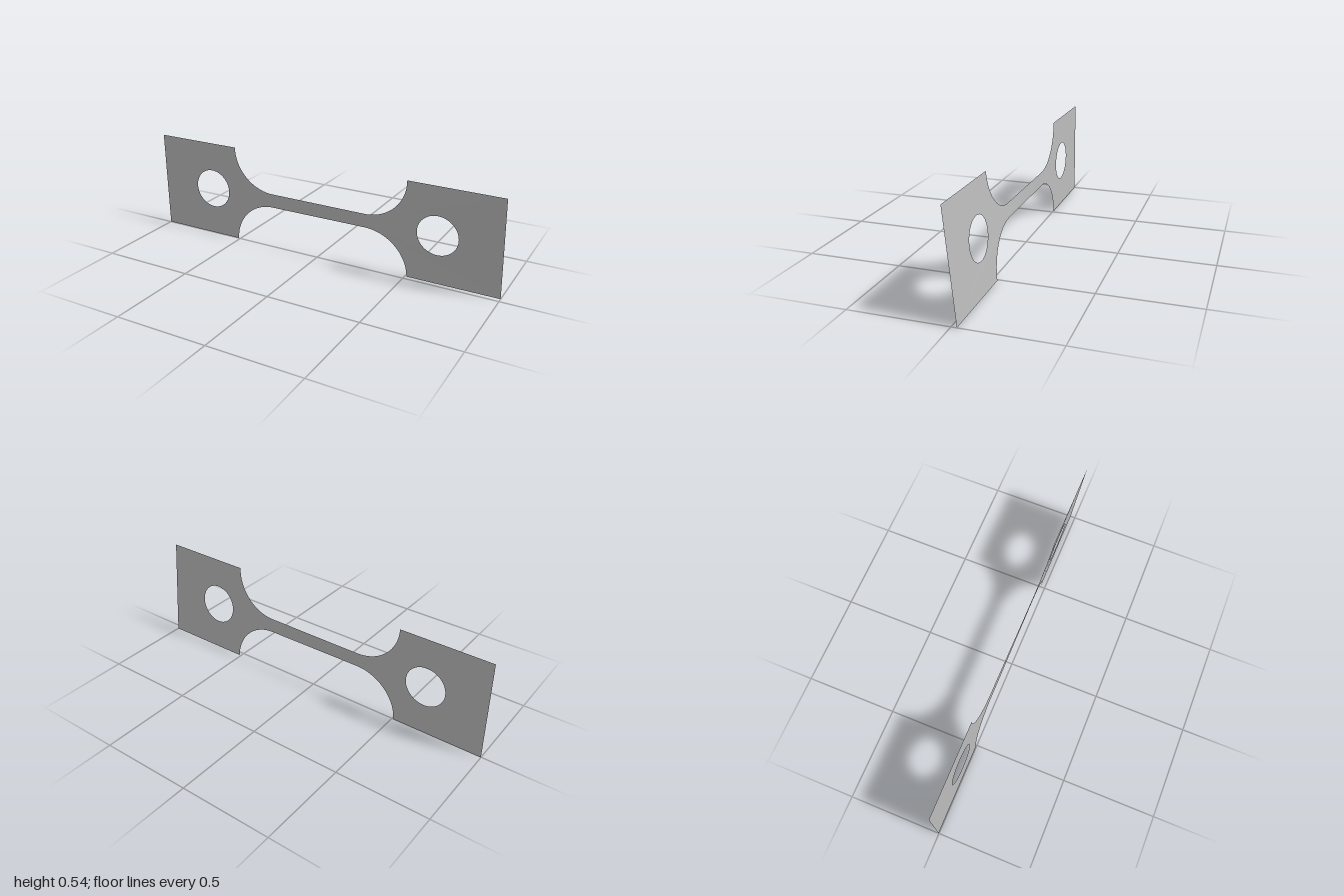
import * as THREE from 'three';

const HEIGHT = 0.54, MID = 0.272, NECK = 0.039, NECK_X = 0.275, FILLET = 0.234;

// Bends a flat part to follow the slight twist along the length
function twist(geometry) {
  const p = geometry.attributes.position;
  for (let i = 0; i < p.count; i++) {
    const x = p.getX(i);
    const slope = 0.008 + 0.084 * THREE.MathUtils.smoothstep(x, -0.35, 0.4)
      + 0.008 * THREE.MathUtils.smoothstep(x, 0.4, 1);
    p.setZ(i, slope * (p.getY(i) - MID));
  }
  geometry.computeVertexNormals();
  return geometry;
}

// Wide end with two rounded shoulders and a round hole; side is -1 or 1
function gripGeometry(side) {
  const points = [];
  const steps = 24;
  for (let i = 0; i <= steps; i++) { // lower shoulder, neck to corner
    const a = (i / steps) * Math.PI / 2;
    points.push(new THREE.Vector2(side * (NECK_X + FILLET * Math.sin(a)), FILLET * Math.cos(a)));
  }
  points.push(new THREE.Vector2(side, 0), new THREE.Vector2(side, HEIGHT));
  for (let i = steps; i >= 0; i--) { // upper shoulder, corner to neck
    const a = (i / steps) * Math.PI / 2;
    points.push(new THREE.Vector2(side * (NECK_X + FILLET * Math.sin(a)), HEIGHT - (HEIGHT - MID - NECK) * Math.cos(a)));
  }
  const shape = new THREE.Shape(points);
  const hole = new THREE.Path();
  hole.absarc(side * 0.67, 0.273, 0.108, 0, Math.PI * 2, true);
  shape.holes.push(hole);
  return twist(new THREE.ShapeGeometry(shape, 32));
}

export function createModel() {
  const group = new THREE.Group();
  const steel = new THREE.MeshStandardMaterial({ color: 0xbcbcbc, side: THREE.DoubleSide });
  steel.name = 'steel grey';

  const add = (name, geometry) => {
    const mesh = new THREE.Mesh(geometry, steel);
    mesh.name = name;
    group.add(mesh);
  };

  add('leftGrip', gripGeometry(1));
  add('rightGrip', gripGeometry(-1));

  // Narrow strip joining the two grips
  const bottom = FILLET, top = MID + NECK;
  const strip = new THREE.PlaneGeometry(2 * NECK_X, top - bottom, 32, 1);
  strip.translate(0, (top + bottom) / 2, 0);
  add('neck', twist(strip));

  return group;
}
